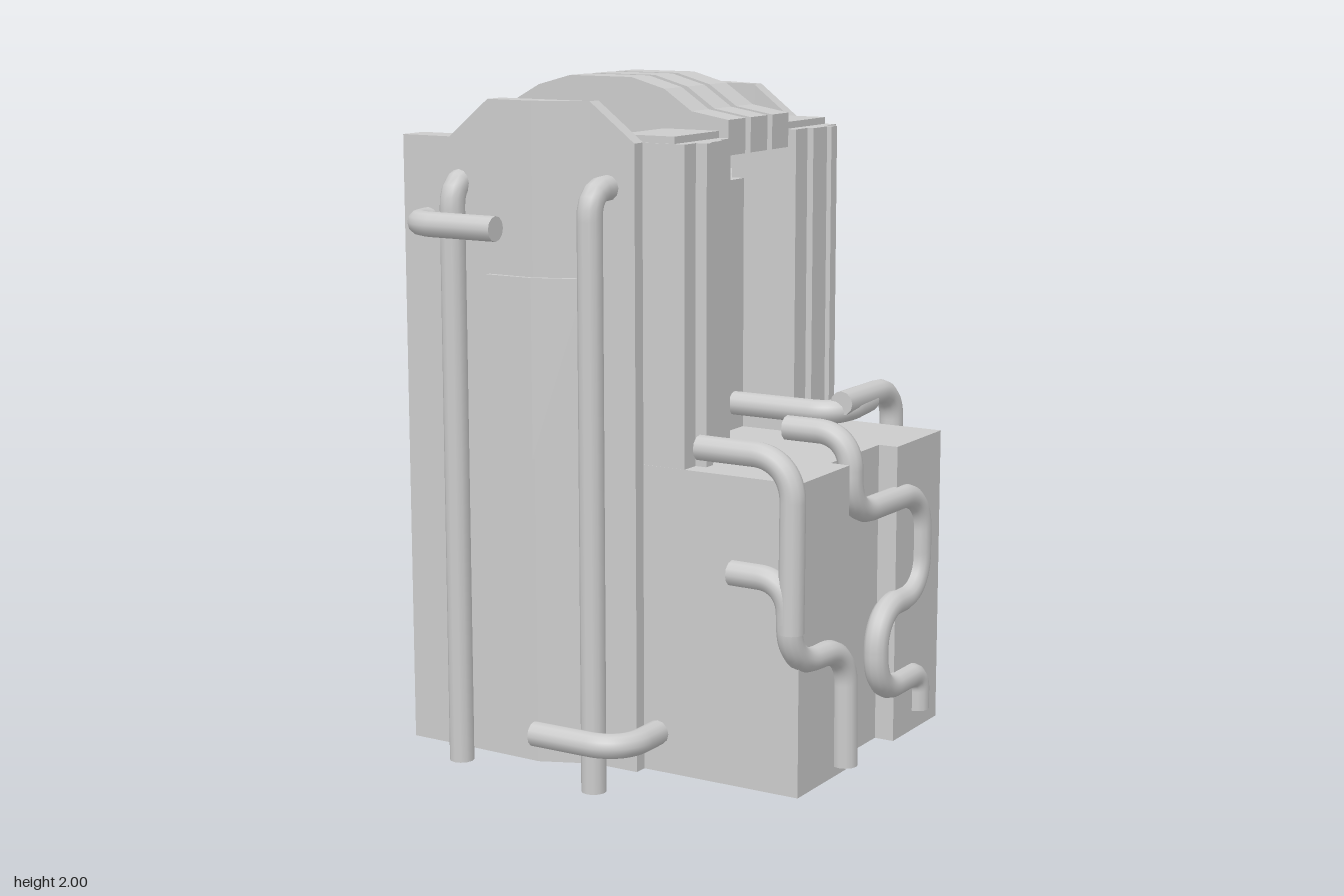
import * as THREE from 'three';

const grey = new THREE.MeshStandardMaterial({ color: 0xcccccc });
const MID = -0.035; // plane the front and back walls mirror about

function add(parent, name, geometry) {
  const mesh = new THREE.Mesh(geometry, grey);
  mesh.name = name;
  parent.add(mesh);
  return mesh;
}

function block(parent, name, x0, x1, y0, y1, z0, z1) {
  const g = new THREE.BoxGeometry(x1 - x0, y1 - y0, z1 - z0);
  g.translate((x0 + x1) / 2, (y0 + y1) / 2, (z0 + z1) / 2);
  return add(parent, name, g);
}

// Wall slab between two stations [x, outerZ, topY]; mirrored to the back when side is -1
function slab(parent, name, a, b, zIn, y0, side, topInset = 0) {
  const g = new THREE.BoxGeometry(1, 1, 1).toNonIndexed();
  const p = g.attributes.position;
  for (let i = 0; i < p.count; i++) {
    const s = p.getX(i) < 0 ? a : b;
    const top = p.getY(i) > 0;
    const outer = p.getZ(i) * side > 0;
    const z = outer ? s[1] : zIn + (top ? topInset : 0);
    p.setXYZ(i, s[0], top ? s[2] : y0, side > 0 ? z : 2 * MID - z);
  }
  g.computeVertexNormals();
  add(parent, name, g);
}

// Round pipe through corner points, with rounded bends and closed ends
function pipe(parent, name, points, bend = 0.08, r = 0.036) {
  const v = points.map((p) => new THREE.Vector3(...p));
  const path = new THREE.CurvePath();
  let from = v[0];
  for (let i = 1; i < v.length - 1; i++) {
    const toPrev = v[i - 1].clone().sub(v[i]);
    const toNext = v[i + 1].clone().sub(v[i]);
    const d = Math.min(bend, toPrev.length() * 0.49, toNext.length() * 0.49);
    const s = v[i].clone().addScaledVector(toPrev.normalize(), d);
    const e = v[i].clone().addScaledVector(toNext.normalize(), d);
    const k = 0.6; // keeps the bend close to a circular arc
    path.add(new THREE.LineCurve3(from, s));
    path.add(new THREE.CubicBezierCurve3(s, s.clone().lerp(v[i], k), e.clone().lerp(v[i], k), e));
    from = e;
  }
  path.add(new THREE.LineCurve3(from, v[v.length - 1]));
  const group = new THREE.Group();
  group.name = name;
  add(group, 'tube', new THREE.TubeGeometry(path, 24 * v.length, r, 12));
  for (const t of [0, 1]) {
    const dir = path.getTangentAt(t).multiplyScalar(t ? 1 : -1);
    const cap = add(group, 'pipeEnd', new THREE.CircleGeometry(r, 12));
    cap.position.copy(path.getPointAt(t));
    cap.quaternion.setFromUnitVectors(new THREE.Vector3(0, 0, 1), dir);
  }
  parent.add(group);
}

function rect(path, x, z) {
  path.moveTo(-x, -z);
  path.lineTo(x, -z);
  path.lineTo(x, z);
  path.lineTo(-x, z);
  path.closePath();
  return path;
}

export function createModel() {
  const model = new THREE.Group();
  model.name = 'machineryTower';

  // Tower core, with a rim around a pit whose walls slope inward
  block(model, 'core', -0.645, 0.06, 0.05, 1.45, -0.49, 0.42);
  const rim = new THREE.Shape();
  rim.moveTo(-0.375, -0.455);
  rim.lineTo(0.33, -0.455);
  rim.lineTo(0.33, 0.455);
  rim.lineTo(-0.375, 0.455);
  rim.closePath();
  rim.holes.push(rect(new THREE.Path(), 0.26, 0.31));
  const rimGeo = new THREE.ExtrudeGeometry(rim, { depth: 0.24, bevelEnabled: false });
  const rp = rimGeo.attributes.position;
  for (let i = 0; i < rp.count; i++) {
    if (Math.abs(rp.getX(i)) < 0.3 && rp.getZ(i) > 0.1) {
      rp.setXY(i, rp.getX(i) * 0.79, rp.getY(i) * 0.77);
    }
  }
  rimGeo.rotateX(Math.PI / 2);
  rimGeo.translate(-0.27, 1.69, MID);
  rimGeo.computeVertexNormals();
  add(model, 'pitRim', rimGeo);

  // Front and back walls: low at the corners, raised in the middle
  const stations = [
    [-0.645, 0.5, 1.84], [-0.48, 0.502, 1.84], [-0.345, 0.506, 1.95],
    [-0.195, 0.51, 1.95], [-0.045, 0.445, 1.95],
  ];
  for (const side of [1, -1]) {
    const end = side > 0 ? 'front' : 'back';
    for (let i = 0; i < stations.length - 1; i++) {
      slab(model, end + 'Wall', stations[i], stations[i + 1], 0.405, 0.05, side, i > 0 ? 0.035 : 0);
    }
    slab(model, end + 'Wall', stations[4], [0.1, 0.445, 1.84], 0.4, 0.05, side);
    // Raised cover plate across the bend of the wall
    slab(model, end + 'Plate', [-0.345, 0.522, 1.46], [-0.195, 0.522, 1.46], 0.45, 0.945, side);
    slab(model, end + 'Plate', [-0.195, 0.522, 1.46], [-0.045, 0.465, 1.46], 0.42, 0.945, side);

    // Columns on the open side, each with a proud fluted strip
    const mirror = (z) => (side > 0 ? z : 2 * MID - z);
    const box = (name, x0, x1, y0, y1, z0, z1) => block(model, name, x0, x1, y0, y1,
      Math.min(mirror(z0), mirror(z1)), Math.max(mirror(z0), mirror(z1)));
    box('column', 0.02, 0.235, 0.94, 1.84, 0.155, 0.404);
    box('columnCap', 0.02, 0.2, 1.84, 1.86, 0.16, 0.4);
    box('columnFlute', 0.235, 0.27, 0.94, 1.84, 0.31, 0.345);
    box('columnFlute', 0.235, 0.255, 0.94, 1.84, 0.225, 0.31);
    // Outer blocks of the low annex, leaving a recess between them
    box('annexBlock', 0.54, 0.6, 0.05, 0.94, 0.115, 0.405);
  }
  block(model, 'backCornerPlate', -0.645, -0.495, 0.05, 0.94, -0.585, -0.56);
  block(model, 'annex', 0.06, 0.54, 0.05, 0.94, -0.475, 0.405);

  // Beam between the walls carrying three arched ribs
  block(model, 'beam', -0.345, -0.195, 1.79, 1.86, -0.49, 0.42);
  const arch = new THREE.Shape([
    [-0.63, 1.79], [0.22, 1.79], [0.22, 1.89], [0.1, 1.91], [0.01, 1.97],
    [-0.1, 2], [-0.31, 2], [-0.42, 1.97], [-0.53, 1.91], [-0.63, 1.89],
  ].map(([x, y]) => new THREE.Vector2(x, y)));
  for (const z of [-0.205, -0.08, 0.047]) {
    const rib = new THREE.ExtrudeGeometry(arch, { depth: 0.096, bevelEnabled: false });
    rib.translate(0, 0, z);
    add(model, 'archedRib', rib);
  }

  // Tall pipes that hook over the walls
  for (const [x, yBase, yTop, zBack] of [[-0.45, 0.02, 1.722, -0.6], [0.012, 0.005, 1.715, -0.585]]) {
    pipe(model, 'frontPipe', [[x, yBase, 0.535], [x, yTop, 0.535], [x, yTop, 0.265]], 0.07);
    pipe(model, 'backPipe', [[x, yBase, zBack], [x, yTop, zBack], [x, yTop, -0.33]], 0.07);
  }

  // Short hooked pipes on the front
  pipe(model, 'upperHook', [[-0.26, 1.6, 0.595], [-0.56, 1.6, 0.595], [-0.56, 1.6, 0.42]], 0.12);
  pipe(model, 'lowerHook', [[-0.15, 0.165, 0.595], [0.145, 0.165, 0.595], [0.145, 0.165, 0.38]], 0.12);

  // Pipework around the annex
  pipe(model, 'annexFrontPipe', [[0.3, 1.015, 0.432], [0.595, 1.015, 0.435], [0.595, 0.53, 0.44]], 0.12);
  pipe(model, 'annexCornerPipe', [[0.405, 0.675, 0.435], [0.585, 0.675, 0.44], [0.59, 0.435, 0.435],
    [0.615, 0.43, 0.16], [0.62, 0.08, 0.16]], 0.11);
  pipe(model, 'annexWindingPipe', [[0.38, 1.02, 0.08], [0.585, 1.02, 0.08], [0.585, 0.785, 0.08],
    [0.6, 0.785, -0.34], [0.6, 0.475, -0.34], [0.6, 0.475, -0.065], [0.6, 0.225, -0.065],
    [0.6, 0.225, -0.345], [0.6, 0.11, -0.345]], 0.12);
  pipe(model, 'annexTopPipe', [[0.05, 1.02, -0.175], [0.415, 1.02, -0.175], [0.415, 1.035, -0.36]], 0.12);
  pipe(model, 'annexBackPipe', [[0.415, 1.05, -0.185], [0.415, 1.05, -0.515], [0.415, 0.61, -0.515]], 0.1);

  return model;
}
